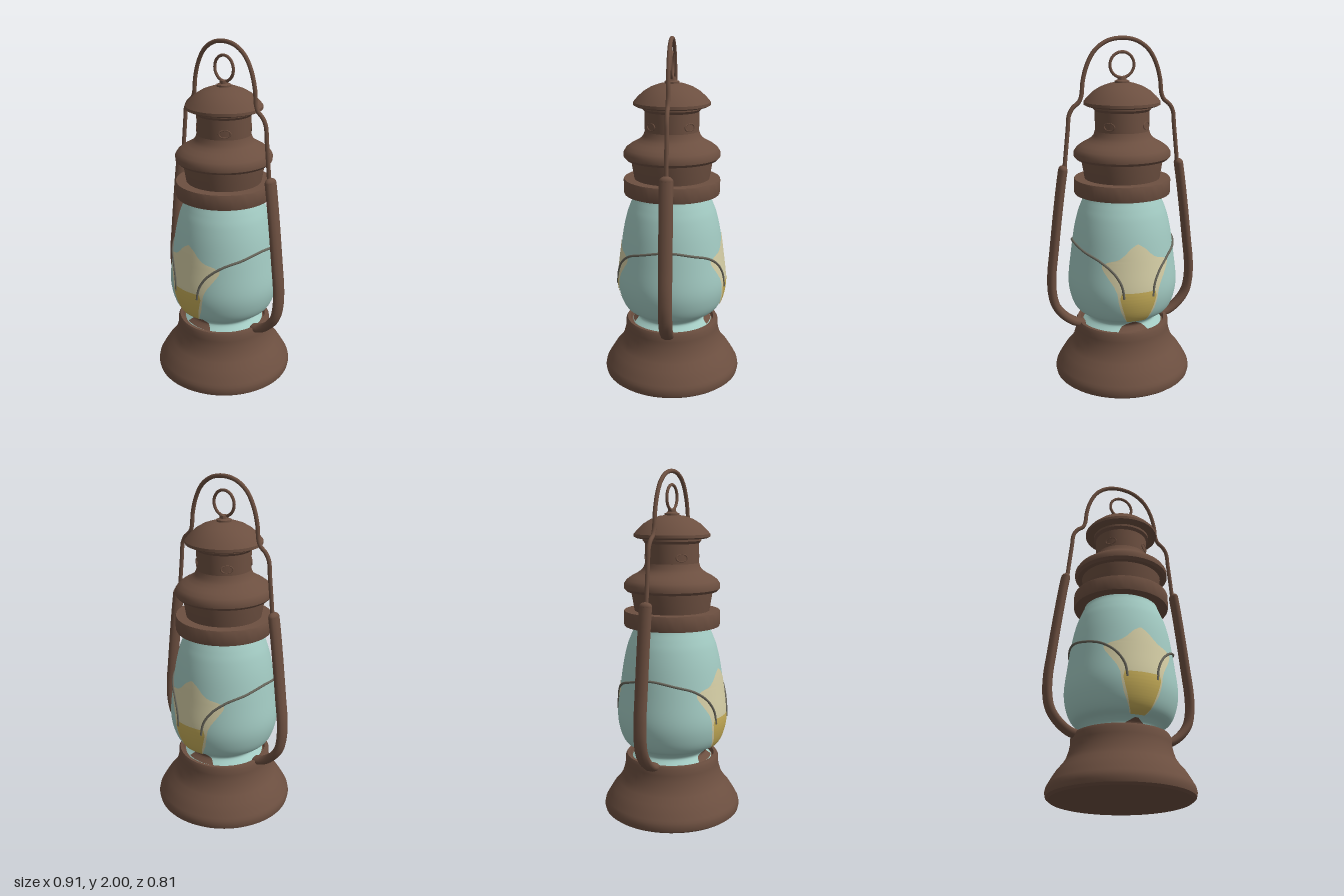
import * as THREE from 'three';
import { toCreasedNormals } from 'three/addons/utils/BufferGeometryUtils.js';

const rust = new THREE.MeshStandardMaterial({ color: 0x6c4f40 });
rust.name = 'rustyBrown';
const teal = new THREE.MeshStandardMaterial({ color: 0xa2cac2 });
teal.name = 'paleTealGlass';
const cream = new THREE.MeshStandardMaterial({ color: 0xd3cca4 });
cream.name = 'creamGlow';
const amber = new THREE.MeshStandardMaterial({ color: 0xc6ad58 });
amber.name = 'amberGlow';
const wireGrey = new THREE.MeshStandardMaterial({ color: 0x67655a });
wireGrey.name = 'wireGrey';

// Smooth glass outline, as [radius, height] samples from bottom to top
const glassProfile = new THREE.SplineCurve([
  [0.235, 0.33], [0.2, 0.365], [0.225, 0.4], [0.275, 0.43], [0.307, 0.5], [0.32, 0.6],
  [0.304, 0.75], [0.283, 0.9], [0.26, 1.0], [0.238, 1.06], [0.217, 1.11], [0.21, 1.15],
].map(([r, y]) => new THREE.Vector2(r, y))).getPoints(60);

// Linear lookup in a list of [key, value] pairs with rising keys
function lookup(table, key) {
  for (let i = 1; i < table.length; i++) {
    if (key <= table[i][0]) {
      const [k0, v0] = table[i - 1], [k1, v1] = table[i];
      return v0 + (v1 - v0) * Math.max(0, (key - k0) / (k1 - k0));
    }
  }
  return table[table.length - 1][1];
}
const glassTable = glassProfile.map((p) => [p.y, p.x]);
const glassRadius = (y) => lookup(glassTable, y);

export function createModel() {
  const group = new THREE.Group();

  function add(name, geometry, material = rust) {
    const mesh = new THREE.Mesh(geometry, material);
    mesh.name = name;
    group.add(mesh);
    return mesh;
  }
  function turned(name, profile) {
    const points = profile.map(([r, y]) => new THREE.Vector2(r, y));
    return add(name, toCreasedNormals(new THREE.LatheGeometry(points, 64), 0.6));
  }
  function tube(name, points, radius, material = rust, steps = 60) {
    const curve = new THREE.CatmullRomCurve3(points.map((p) => new THREE.Vector3(...p)));
    return add(name, new THREE.TubeGeometry(curve, steps, radius, 10), material);
  }

  // Flared fuel tank with a recessed top
  turned('base', [
    [0, 0], [0.385, 0], [0.4, 0.012], [0.405, 0.035], [0.4, 0.06], [0.392, 0.075], [0.375, 0.105],
    [0.35, 0.145], [0.32, 0.18], [0.298, 0.215], [0.284, 0.26], [0.277, 0.295], [0.277, 0.33],
    [0.268, 0.347], [0.25, 0.347], [0.245, 0.32], [0, 0.32],
  ]);

  // Glass chimney
  add('glass', new THREE.LatheGeometry(glassProfile, 64), teal);

  // Collar and vented hood
  turned('collar', [[0.19, 1.12], [0.275, 1.12], [0.278, 1.13], [0.278, 1.2], [0.275, 1.207], [0.2, 1.207]]);
  turned('collarNeck', [[0.215, 1.2], [0.22, 1.23], [0.232, 1.3], [0.235, 1.33]]);
  turned('hood', [
    [0.2, 1.32], [0.262, 1.32], [0.276, 1.335], [0.276, 1.36], [0.262, 1.382], [0.235, 1.402],
    [0.205, 1.418], [0.178, 1.435], [0.162, 1.455], [0.154, 1.48],
  ]);
  turned('stack', [[0.154, 1.47], [0.154, 1.59], [0.168, 1.605], [0.168, 1.63]]);

  // Domed cap and its knob
  turned('cap', [
    [0.1, 1.618], [0.2, 1.618], [0.217, 1.626], [0.217, 1.642], [0.195, 1.668], [0.16, 1.7],
    [0.12, 1.724], [0.07, 1.742], [0, 1.75],
  ]);
  turned('capKnob', [[0.042, 1.735], [0.042, 1.755], [0.025, 1.762], [0.022, 1.778], [0, 1.782]]);
  const ring = add('liftRing', new THREE.TorusGeometry(0.07, 0.0085, 10, 40));
  ring.position.y = 1.843;

  // Small vent frames around the stack
  for (let i = 0; i < 4; i++) {
    const angle = Math.PI / 4 + i * Math.PI / 2;
    const vent = add('ventFrame', new THREE.TorusGeometry(0.026, 0.004, 8, 20));
    vent.scale.set(1.25, 0.8, 1);
    vent.position.set(Math.sin(angle) * 0.152, 1.515, Math.cos(angle) * 0.152);
    vent.rotation.y = angle;
  }

  for (const s of [-1, 1]) {
    // Flattened side tubes with rounded ends
    const arm = tube('sideTube', [
      [0.255, 0.335, 0], [0.3, 0.35, 0], [0.36, 0.395, 0], [0.407, 0.46, 0], [0.426, 0.54, 0],
      [0.427, 0.65, 0], [0.41, 0.8, 0], [0.386, 1.0, 0], [0.362, 1.18, 0], [0.348, 1.27, 0],
    ].map(([x, y, z]) => [s * x, y, z]), 0.026);
    arm.scale.z = 1.5;
    for (const [x, y] of [[0.255, 0.335], [0.348, 1.27]]) {
      const end = add('sideTubeEnd', new THREE.SphereGeometry(0.026, 12, 8));
      end.position.set(s * x, y, 0);
      end.scale.z = 1.5;
    }

    // Guard wire lying on the glass, from front to back
    const half = [[0.265, 0.82], [0.2, 0.785], [0.135, 0.725], [0.097, 0.655], [0.085, 0.58]];
    const onGlass = ([x, y], sign) => [s * x, y, sign * Math.sqrt((glassRadius(y) + 0.004) ** 2 - x * x)];
    tube('guardWire', [
      ...half.slice().reverse().map((p) => onGlass(p, 1)),
      [s * (glassRadius(0.845) + 0.004), 0.845, 0],
      ...half.map((p) => onGlass(p, -1)),
    ], 0.007, wireGrey, 90);
  }

  // Carrying handle
  const side = [[0.342, 1.24], [0.33, 1.36], [0.315, 1.5], [0.307, 1.575], [0.285, 1.615],
    [0.25, 1.645], [0.235, 1.68], [0.226, 1.76], [0.2, 1.85], [0.155, 1.925], [0.085, 1.973]];
  tube('handle', [
    ...side.map(([x, y]) => [-x, y, 0]),
    [0, 1.988, 0],
    ...side.slice().reverse().map(([x, y]) => [x, y, 0]),
  ], 0.012, rust, 140);

  // Painted patch hugging the glass; rows are [height, half width], bottom to top
  function patch(name, rows, offset, material, turn) {
    const bottom = rows[0][0], top = rows[rows.length - 1][0];
    const geometry = new THREE.PlaneGeometry(2, 1, 20, 48);
    const position = geometry.attributes.position;
    for (let i = 0; i < position.count; i++) {
      const y = bottom + (position.getY(i) + 0.5) * (top - bottom);
      const x = position.getX(i) * lookup(rows, y);
      const r = glassRadius(y) + offset;
      position.setXYZ(i, x, y, Math.sqrt(r * r - x * x));
    }
    geometry.computeVertexNormals();
    add(name, geometry, material).rotation.y = turn;
  }

  // Flame glow and burner showing at front and back
  for (const turn of [0, Math.PI]) {
    patch('flameGlow', [
      [0.41, 0.05], [0.45, 0.075], [0.5, 0.1], [0.56, 0.115], [0.61, 0.122], [0.65, 0.138], [0.7, 0.168],
      [0.74, 0.19], [0.765, 0.195], [0.785, 0.165], [0.8, 0.11], [0.83, 0.072], [0.86, 0.045], [0.885, 0.006],
    ], 0.003, cream, turn);
    patch('flameCore', [
      [0.405, 0.04], [0.43, 0.06], [0.47, 0.075], [0.53, 0.095], [0.58, 0.108], [0.612, 0.1],
    ], 0.005, amber, turn);
    patch('burner', [[0.335, 0.09], [0.365, 0.06], [0.395, 0.01]], 0.003, rust, turn);
  }

  return group;
}
